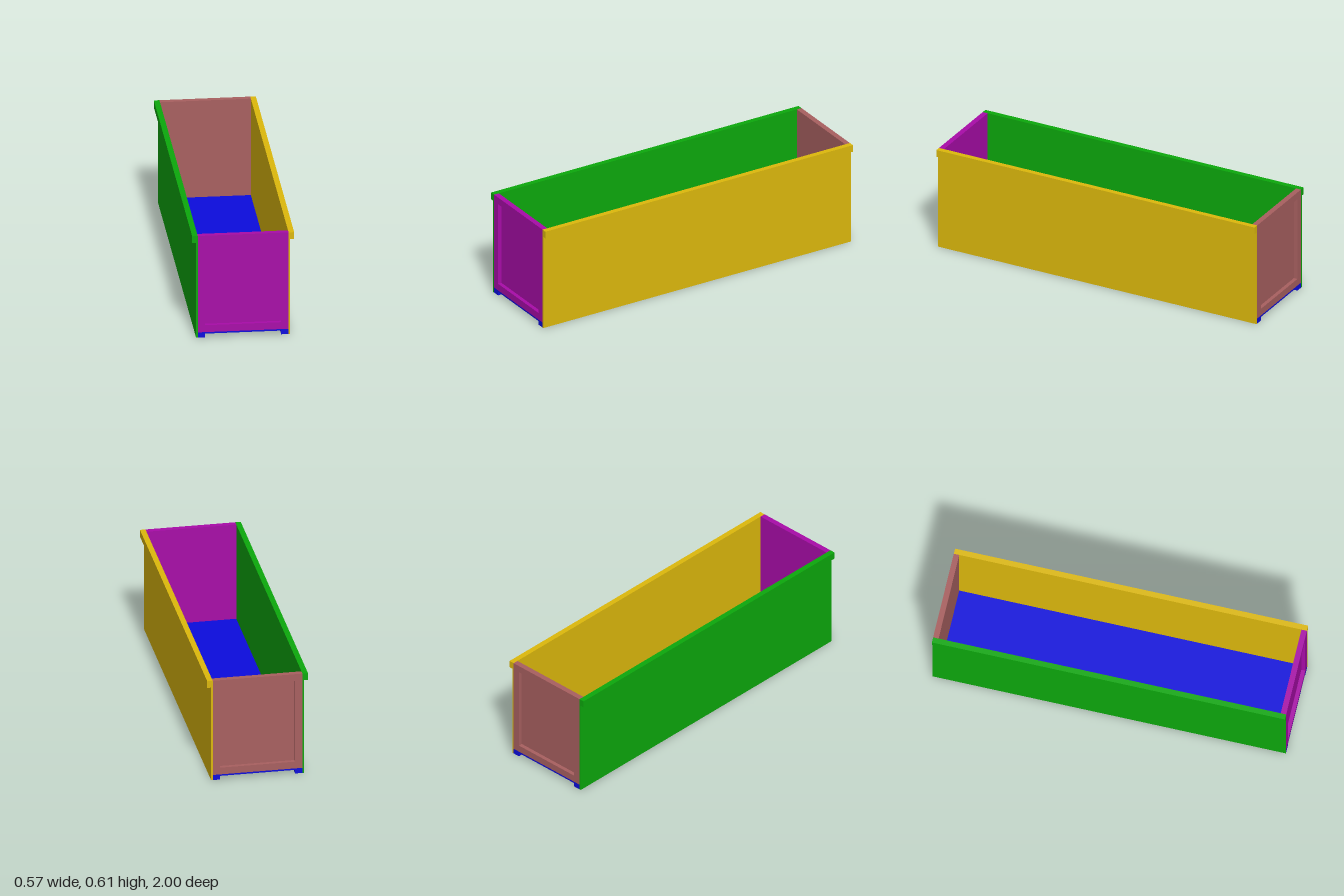
import * as THREE from 'three';

const HALF_LENGTH = 1;
const INNER = 0.252;   // half width between the side walls
const SHEET = 0.009;   // sheet thickness
const RIM = 0.031;     // depth of lips and frames
const BORDER = 0.041;  // width of lips and frames
const TOP = 0.605;

const material = (color) => new THREE.MeshStandardMaterial({ color, flatShading: true });

const polygon = (points) => new THREE.Shape(points.map(([x, y]) => new THREE.Vector2(x, y)));

// Extrudes a front-facing outline from z0 to z1
function extrude(shape, z0, z1) {
  const geometry = new THREE.ExtrudeGeometry(shape, { depth: z1 - z0, bevelEnabled: false });
  return geometry.translate(0, 0, z0);
}

function addMesh(parent, name, geometry, mat) {
  const mesh = new THREE.Mesh(geometry, mat);
  mesh.name = name;
  parent.add(mesh);
}

// Side wall: thin sheet with an outward lip along the top
function sideWall(side) {
  const outline = [
    [INNER, 0], [INNER + SHEET, 0], [INNER + SHEET, TOP - BORDER],
    [INNER + RIM, TOP - BORDER], [INNER + RIM, TOP], [INNER, TOP],
  ];
  return extrude(polygon(outline.map(([x, y]) => [side * x, y])), -HALF_LENGTH, HALF_LENGTH);
}

// End wall: raised frame around a recessed panel
function endWall(name, color) {
  const group = new THREE.Group();
  group.name = name;
  const mat = material(color);
  const x = INNER - BORDER, y0 = RIM + BORDER, y1 = TOP - BORDER;
  const opening = [[-x, y0], [-x, y1], [x, y1], [x, y0]];
  const frame = polygon([[-INNER, RIM], [INNER, RIM], [INNER, TOP], [-INNER, TOP]]);
  frame.holes.push(polygon(opening));
  const back = HALF_LENGTH - RIM;
  addMesh(group, name + 'Frame', extrude(frame, back, HALF_LENGTH), mat);
  addMesh(group, name + 'Panel', extrude(polygon(opening), back, back + SHEET), mat);
  return group;
}

export function createModel() {
  const model = new THREE.Group();
  model.name = 'trough';

  // Long sides
  addMesh(model, 'leftSideWall', sideWall(1), material(0xdcb80c));
  addMesh(model, 'rightSideWall', sideWall(-1), material(0x0ca80c));

  // Floor with a runner along each edge
  const foot = INNER - BORDER, under = RIM - SHEET;
  const floor = polygon([
    [-INNER, 0], [-foot, 0], [-foot, under], [foot, under],
    [foot, 0], [INNER, 0], [INNER, RIM], [-INNER, RIM],
  ]);
  addMesh(model, 'floor', extrude(floor, -HALF_LENGTH, HALF_LENGTH), material(0x0c0cdc));

  // Ends
  const backEnd = endWall('backEnd', 0xa86060);
  backEnd.rotation.y = Math.PI;
  model.add(endWall('frontEnd', 0xa80ca8), backEnd);

  return model;
}
